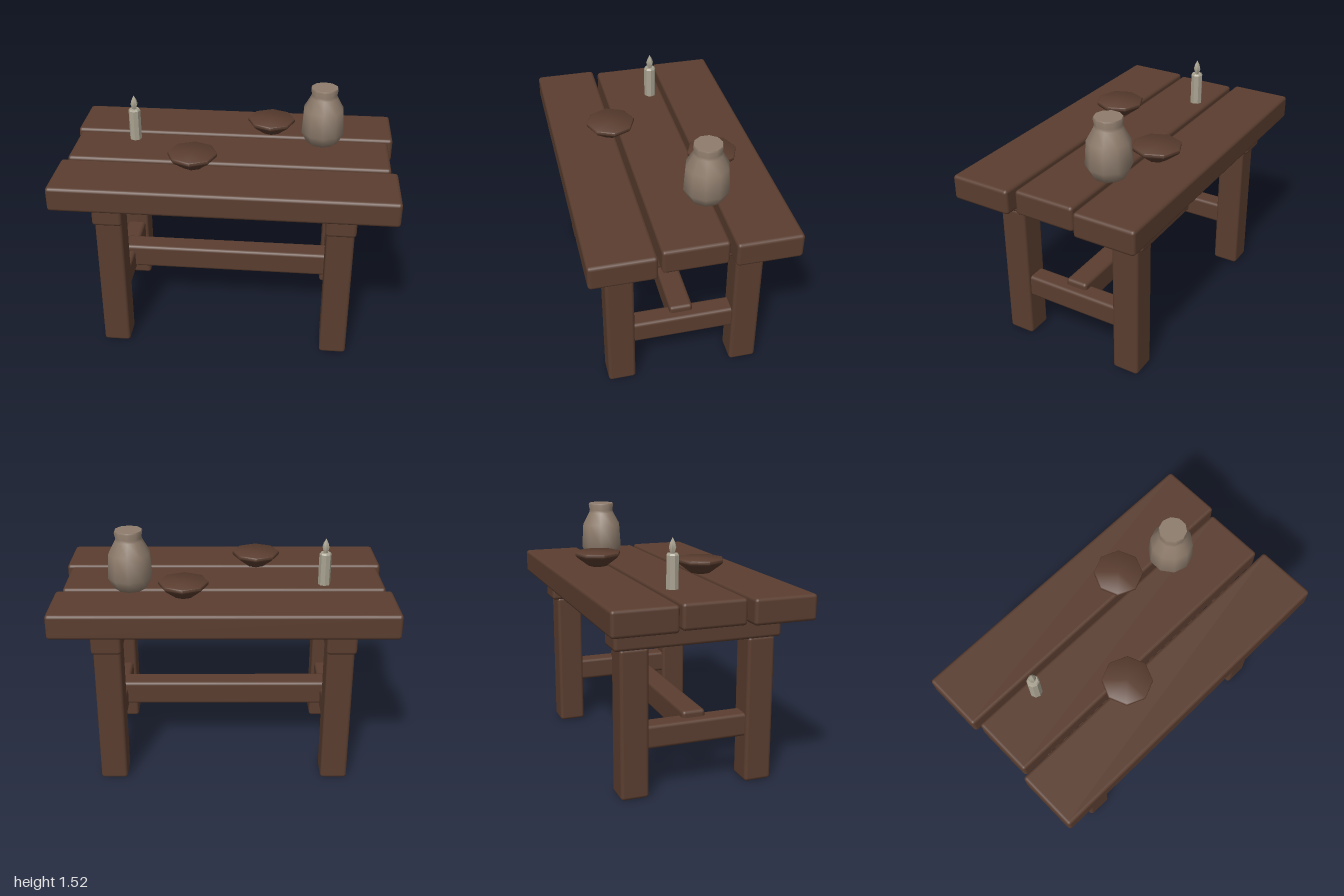
import * as THREE from 'three';
import { RoundedBoxGeometry } from 'three/addons/geometries/RoundedBoxGeometry.js';
import { toCreasedNormals } from 'three/addons/utils/BufferGeometryUtils.js';

function material(name, color) {
  const m = new THREE.MeshStandardMaterial({ color });
  m.name = name;
  return m;
}

export function createModel() {
  const table = new THREE.Group();
  table.name = 'tableWithCrockery';
  const wood = material('dark wood', 0x5a3d2f);
  const clay = material('grey clay', 0x8f7d6d);
  const wax = material('pale wax', 0xa8a290);

  // Timber with softened edges, given by its extents
  function beam(name, [x0, x1], [y0, y1], [z0, z1], radius = 0.02) {
    const geometry = new RoundedBoxGeometry(x1 - x0, y1 - y0, z1 - z0, 2, radius);
    const mesh = new THREE.Mesh(geometry, wood);
    mesh.name = name;
    mesh.position.set((x0 + x1) / 2, (y0 + y1) / 2, (z0 + z1) / 2);
    table.add(mesh);
  }

  // Closed turned piece, profile listed from bottom to top
  function turned(name, mat, profile, sides, x, y, z, crease = 0.9) {
    const points = profile.map(([r, h]) => new THREE.Vector2(r, h));
    const geometry = toCreasedNormals(new THREE.LatheGeometry(points, sides), crease);
    const mesh = new THREE.Mesh(geometry, mat);
    mesh.name = name;
    mesh.position.set(x, y, z);
    table.add(mesh);
  }

  // Table top: three planks, the middle one shorter
  beam('frontPlank', [-1, 1], [1.01, 1.16], [0.213, 0.588]);
  beam('middlePlank', [-0.97, 0.965], [1.01, 1.16], [-0.188, 0.186]);
  beam('backPlank', [-1, 1], [1.01, 1.16], [-0.588, -0.213]);

  // Two trestles: bearer, two legs and a low rail each
  for (const side of [-1, 1]) {
    const across = (a, b) => (side > 0 ? [a, b] : [-b, -a]);
    beam('bearer', across(0.592, 0.77), [0.872, 1.012], [-0.5, 0.5]);
    beam('lowRail', across(0.62, 0.74), [0.28, 0.42], [-0.34, 0.34]);
    for (const end of [-1, 1]) {
      beam('leg', across(0.6, 0.763), [0, 0.882], end > 0 ? [0.298, 0.465] : [-0.465, -0.298]);
    }
  }

  // Stretcher joining the trestles
  beam('stretcher', [-0.69, 0.69], [0.305, 0.46], [-0.07, 0.07]);

  // Shallow eight-sided bowls
  const bowl = [[0, 0], [0.06, 0], [0.137, 0.058], [0.147, 0.07], [0.147, 0.085], [0.141, 0.09], [0, 0.09]];
  turned('frontBowl', wood, bowl, 8, -0.203, 1.16, 0.235);
  turned('backBowl', wood, bowl, 8, 0.236, 1.16, -0.285);

  // Jug with a narrow neck and closed mouth
  const jug = [[0, 0], [0.088, 0], [0.1, 0.01], [0.135, 0.075], [0.125, 0.222],
    [0.083, 0.298], [0.078, 0.315], [0.085, 0.35], [0.081, 0.36], [0, 0.36]];
  turned('jug', clay, jug, 10, 0.557, 1.16, -0.163);

  // Candle with a pointed flame
  const candle = [[0, 0], [0.037, 0], [0.037, 0.19], [0.03, 0.2], [0, 0.2]];
  turned('candle', wax, candle, 8, -0.605, 1.16, -0.105, 0.5);
  const flame = [[0, 0], [0.013, 0], [0.023, 0.035], [0.016, 0.06], [0, 0.09]];
  turned('flame', wax, flame, 6, -0.605, 1.358, -0.105, 0.5);

  return table;
}
